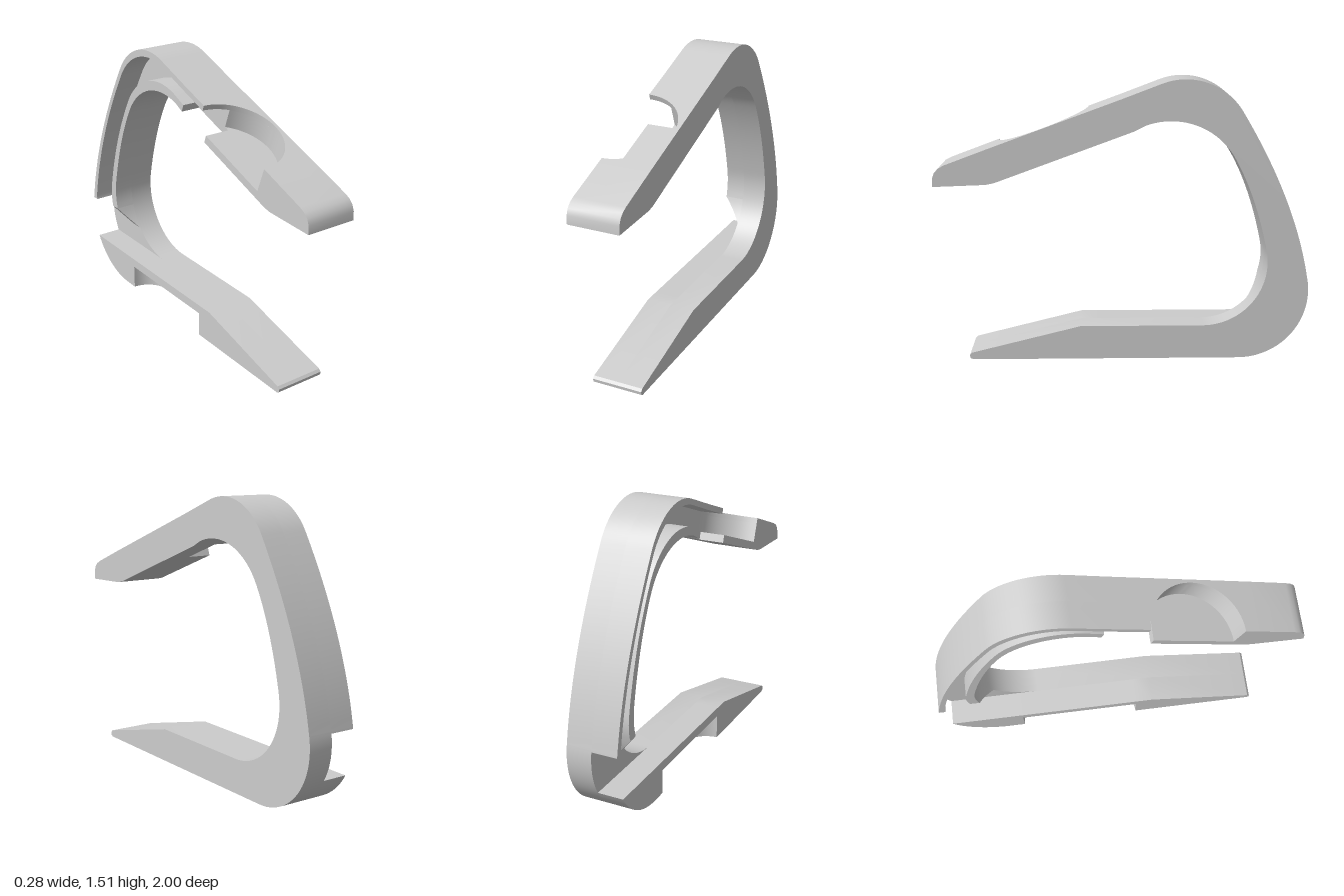
import * as THREE from 'three';
import { toCreasedNormals } from 'three/addons/utils/BufferGeometryUtils.js';

const X0 = -0.14, XLIP = -0.11, X1 = 0.137;      // open side, slot edge, closed side
const SLOPE = Math.atan(0.367), C = Math.cos(SLOPE), S = Math.sin(SLOPE);
const T = 0.18, WALL = 0.03, FLOOR = 0.138;      // arm thickness, pocket lip and pocket floor depths
const R = 0.26, CUT = 0.3, LIP = 0.45;           // pocket radius, pocketed arm half length, lip start
const ARM_Y = 1.258, ARM_Z = 0.425;              // pocket centre on the arm's top face

// Point [z, y] on the sloping arm: s runs up the arm, d goes down from its top face
const arm = (s, d) => [ARM_Z - C * s - S * d, ARM_Y + S * s - C * d];

// Arc in [z, y], angles in degrees measured up from the back (-z)
const arc = (cz, cy, r, a0, a1, n) => Array.from({ length: n + 1 }, (_, i) => {
  const a = THREE.MathUtils.degToRad(a0 + (a1 - a0) * i / n);
  return [cz - r * Math.cos(a), cy + r * Math.sin(a)];
});

// Bowed column between two arcs, without its end points
const bow = (a, control, b, n) => new THREE.QuadraticBezierCurve(
  ...[a, control, b].map(p => new THREE.Vector2(...p))).getPoints(n).slice(1, -1).map(p => [p.x, p.y]);

// One edge of the frame: arm, bend, column, lower corner (split at the cable exit, taper end and foot top)
const edge = (d, bend, control, corner, [a0, aExit, aTaper, aFoot]) => {
  const top = arc(...bend, 20);
  const low = [
    ...arc(...corner, a0, aExit, 6),
    ...arc(...corner, aExit, aTaper, 6).slice(1),
    ...arc(...corner, aTaper, aFoot, 6).slice(1),
    ...arc(...corner, aFoot, -90, 14).slice(1)];
  return [arm(CUT, d), arm(LIP, d), ...top, ...bow(top[20], control, low[0], 24), ...low];
};

export function createModel() {
  const model = new THREE.Group();
  model.name = 'cableStand';
  const grey = new THREE.MeshStandardMaterial({ color: 0xcccccc });
  grey.name = 'grey';

  const add = (name, geo, parent = model) => {
    const mesh = new THREE.Mesh(toCreasedNormals(geo, 0.5), grey);
    mesh.name = name;
    parent.add(mesh);
  };

  // Side profile [z, y] extruded across x
  const slab = (pts, x0, x1) => {
    const shape = new THREE.Shape(pts.map(([z, y]) => new THREE.Vector2(-z, y)));
    return new THREE.ExtrudeGeometry(shape, { depth: x1 - x0, bevelEnabled: false })
      .rotateY(Math.PI / 2).translate(x0, 0, 0);
  };

  // Paired outer and inner edges, station by station
  const outer = edge(0, [-0.325, 1.163, 0.35, 110.2, 32], [-0.915, 0.875],
    [-0.628, 0.371, 0.371], [12.4, 9.2, -10.9, -30]);
  const inner = edge(T, [-0.25, 0.907, 0.39, 110.2, 30], [-0.704, 0.901],
    [-0.43, 0.53, 0.345], [12, -16.9, -41.8, -62]);
  const exit = 2 + 21 + 23 + 6, taperEnd = exit + 6, footTop = taperEnd + 6;
  const strip = (a, b, from, to) => {
    const at = t => outer.slice(from, to + 1).map(([z, y], i) => {
      const q = inner[from + i];
      return [z + (q[0] - z) * t, y + (q[1] - y) * t];
    });
    return [...at(a), ...at(b).reverse()];
  };
  const nose = [[0.815, 0], [0.83, 0.008], [0.832, 0.025], [0.82, 0.038]];

  // Closed half: bend, column and foot in one piece
  add('closedFrame', slab([...outer, ...nose, [0.23, 0.185], ...[...inner].reverse()], 0, X1));

  // Cable channel: outer wall, and an inner lip that leaves a narrow slot
  add('channelOuterWall', slab(strip(0, WALL / T, 0, exit), X0, 0));
  add('channelInnerLip', slab(strip(FLOOR / T, 1, 1, exit), XLIP, 0));

  // Lower end of the lip tapers towards the cable exit
  const taper = slab(strip(FLOOR / T, 1, exit, taperEnd), XLIP, 0);
  const pos = taper.attributes.position;
  for (let i = 0; i < pos.count; i++) {
    if (pos.getX(i) > XLIP / 2) continue;
    const k = THREE.MathUtils.clamp((0.43 - pos.getY(i)) / 0.13, 0, 1);
    pos.setX(i, XLIP * (1 - k) - 0.001);
  }
  add('channelLipTaper', taper);

  // Foot on the open half, hollowed from below by a round-ended recess
  const zFront = 0.135, zBack = -0.54, roof = 0.135, top = 0.185;
  add('footHeel', slab([...outer.slice(footTop), [zBack, 0], [zBack, top]], X0, 0));
  add('footPlate', slab([[zBack, roof], [zFront, roof], [zFront, top], [zBack, top]], X0, 0));
  add('footToe', slab([[zFront, 0], ...nose, [0.23, top], [zFront, top]], X0, 0));
  for (const [z, side] of [[zFront, 1], [zBack, -1]]) {
    const r = 0.14, zc = z - side * r;
    const corner = new THREE.Shape();            // drawn as (x, -z)
    corner.moveTo(0, -z);
    corner.lineTo(X0, -z);
    for (let i = 1; i <= 12; i++) {
      const a = (i / 12) * Math.PI / 2;
      corner.lineTo(X0 + r * Math.sin(a), -(zc + side * r * Math.cos(a)));
    }
    add('footRecessCorner', new THREE.ExtrudeGeometry(corner, { depth: roof, bevelEnabled: false })
      .rotateX(-Math.PI / 2));
  }

  // Rounded arm tip
  add('armTip', slab([arm(-CUT, 0), [0.935, 1.069], [0.965, 1.053], [0.987, 1.03], [0.998, 1.0],
    [1, 0.955], [0.72, 0.965], [0.68, 0.973], arm(-CUT, T)], X0, X1));

  // Pocketed arm piece: layers stacked along the arm's normal, drawn as (x, s)
  const pocketArm = new THREE.Group();
  pocketArm.name = 'pocketArm';
  pocketArm.position.set(0, ARM_Y, ARM_Z);
  pocketArm.rotation.x = SLOPE - Math.PI / 2;
  model.add(pocketArm);
  const layer = (name, cutEdge, d0, d1) => {
    const shape = new THREE.Shape([[X0, -CUT], [X1, -CUT], [X1, CUT], ...cutEdge]
      .map(p => new THREE.Vector2(...p)));
    add(name, new THREE.ExtrudeGeometry(shape, { depth: d1 - d0, bevelEnabled: false })
      .translate(0, 0, -d1), pocketArm);
  };
  // Pocket rim from the upper end (angle a0) round to the lower end
  const rim = (a0) => Array.from({ length: 41 }, (_, i) => {
    const a = a0 - (i / 40) * (a0 + Math.PI / 2);
    return [X0 + R * Math.cos(a), R * Math.sin(a)];
  });
  layer('pocketRim', [[X0, CUT], ...rim(Math.PI / 2)], 0, WALL);
  layer('pocketWall', [[0, CUT], ...rim(Math.acos(-X0 / R))], WALL, FLOOR);
  layer('pocketFloor', [[0, CUT], [0, 0.19], [X0, 0.19]], FLOOR, T);

  return model;
}
